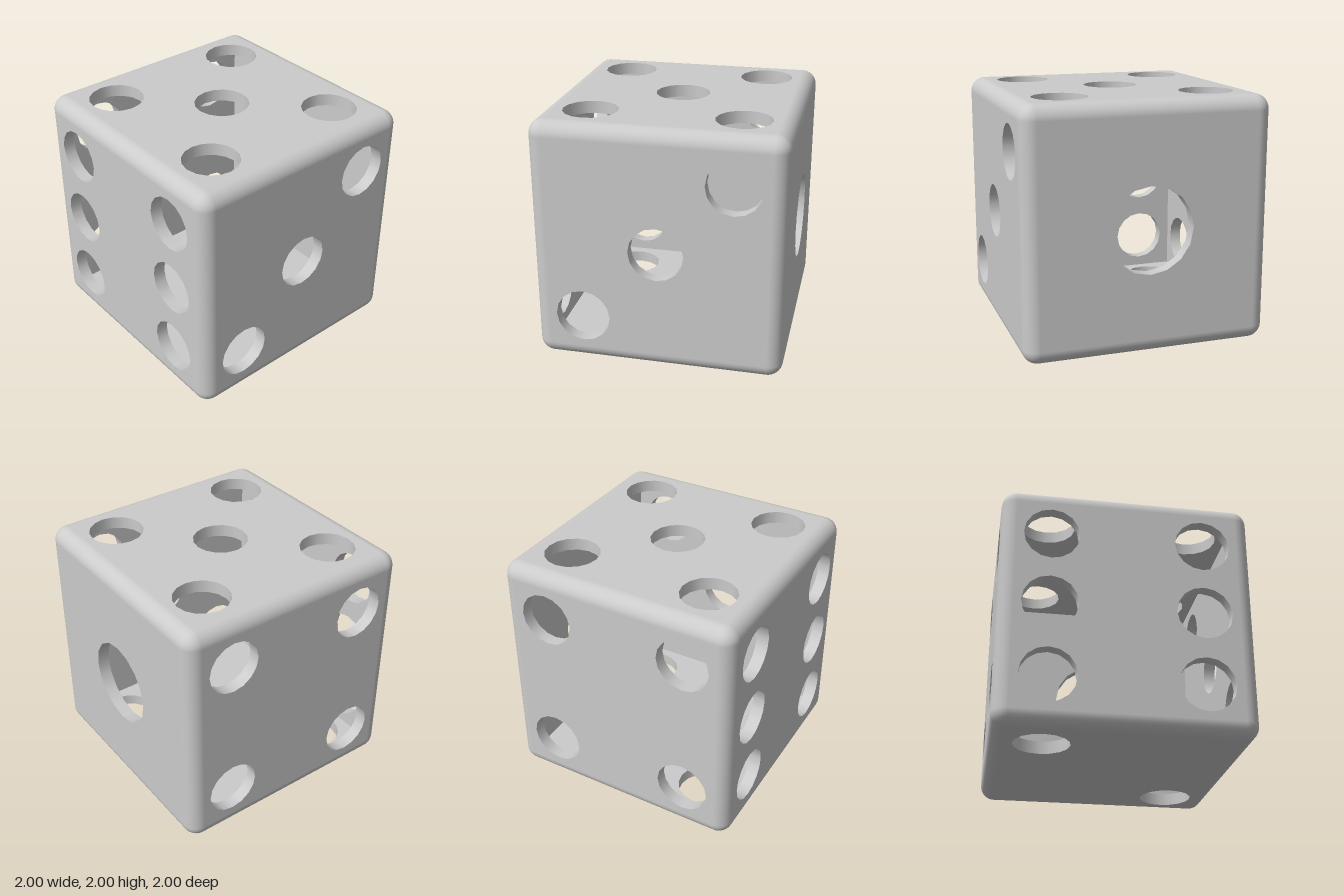
import * as THREE from 'three';

const HALF = 1;          // half the outer size
const ROUND = 0.12;      // edge rounding
const FLAT = HALF - ROUND;
const WALL = 0.1;        // shell thickness
const SIDES = 16;        // sides of each round hole
const P = 0.6;           // pip spacing
const SMALL = 0.22, LARGE = 0.35;

const material = new THREE.MeshStandardMaterial({ color: 0xcccccc });
const insideMaterial = new THREE.MeshStandardMaterial({ color: 0xcccccc, side: THREE.BackSide });

function addMesh(parent, name, geometry, mat = material) {
  const mesh = new THREE.Mesh(geometry, mat);
  mesh.name = name;
  parent.add(mesh);
  return mesh;
}

// Square sheet pierced by the pip holes
function sheet(half, pips, radius) {
  const shape = new THREE.Shape([
    new THREE.Vector2(-half, -half), new THREE.Vector2(half, -half),
    new THREE.Vector2(half, half), new THREE.Vector2(-half, half),
  ]);
  for (const [u, v] of pips) {
    shape.holes.push(new THREE.Path().absarc(u, v, radius, 0, Math.PI * 2, true));
  }
  return new THREE.ShapeGeometry(shape, SIDES / 2);
}

// One wall facing +z: outer skin, inner skin and the rims of its holes
function wall(name, pips, radius) {
  const group = new THREE.Group();
  group.name = name;
  addMesh(group, name + 'Outside', sheet(FLAT, pips, radius)).position.z = HALF;
  addMesh(group, name + 'Inside', sheet(HALF - WALL, pips, radius), insideMaterial)
    .position.z = HALF - WALL;
  for (const [u, v] of pips) {
    const rim = new THREE.CylinderGeometry(radius, radius, WALL, SIDES, 1, true);
    rim.rotateX(Math.PI / 2);
    addMesh(group, 'pipRim', rim, insideMaterial).position.set(u, v, HALF - WALL / 2);
  }
  return group;
}

export function createModel() {
  const model = new THREE.Group();
  model.name = 'hollowDie';
  const body = new THREE.Group();
  body.name = 'body';
  body.position.y = HALF;
  model.add(body);

  // Six pierced walls: name, pips, hole radius, rotation about x and y
  const Q = Math.PI / 2;
  const diagonal = [[-P, -P], [P, P]];
  const antiDiagonal = [[-P, P], [P, -P]];
  const corners = [...diagonal, ...antiDiagonal];
  const walls = [
    ['frontWall', [...corners, [-P, 0], [P, 0]], SMALL, 0, 0],
    ['backWall', [[0, 0]], LARGE, 0, Math.PI],
    ['leftWall', [...diagonal, [0, 0]], SMALL, 0, Q],
    ['rightWall', corners, SMALL, 0, -Q],
    ['topWall', [...corners, [0, 0]], SMALL, -Q, 0],
    ['bottomWall', antiDiagonal, SMALL, Q, 0],
  ];
  for (const [name, pips, radius, rx, ry] of walls) {
    const side = wall(name, pips, radius);
    side.rotation.set(rx, ry, 0);
    body.add(side);
  }

  // Twelve rounded edges, four along each axis
  for (const [rx, rz] of [[0, 0], [Q, 0], [0, Q]]) {
    const edges = new THREE.Group();
    edges.name = 'roundedEdges';
    edges.rotation.set(rx, 0, rz);
    for (let k = 0; k < 4; k++) {
      const a = k * Q, mid = a + Q / 2;
      addMesh(edges, 'roundedEdge',
        new THREE.CylinderGeometry(ROUND, ROUND, FLAT * 2, 8, 1, true, a, Q))
        .position.set(FLAT * Math.sign(Math.sin(mid)), 0, FLAT * Math.sign(Math.cos(mid)));
    }
    body.add(edges);
  }

  // Eight rounded corners
  for (let k = 0; k < 4; k++) {
    for (const up of [1, -1]) {
      const a = k * Q, mid = a + Q / 2;
      addMesh(body, 'roundedCorner',
        new THREE.SphereGeometry(ROUND, 8, 8, a, Q, up > 0 ? 0 : Q, Q))
        .position.set(-FLAT * Math.sign(Math.cos(mid)), FLAT * up, FLAT * Math.sign(Math.sin(mid)));
    }
  }
  return model;
}
